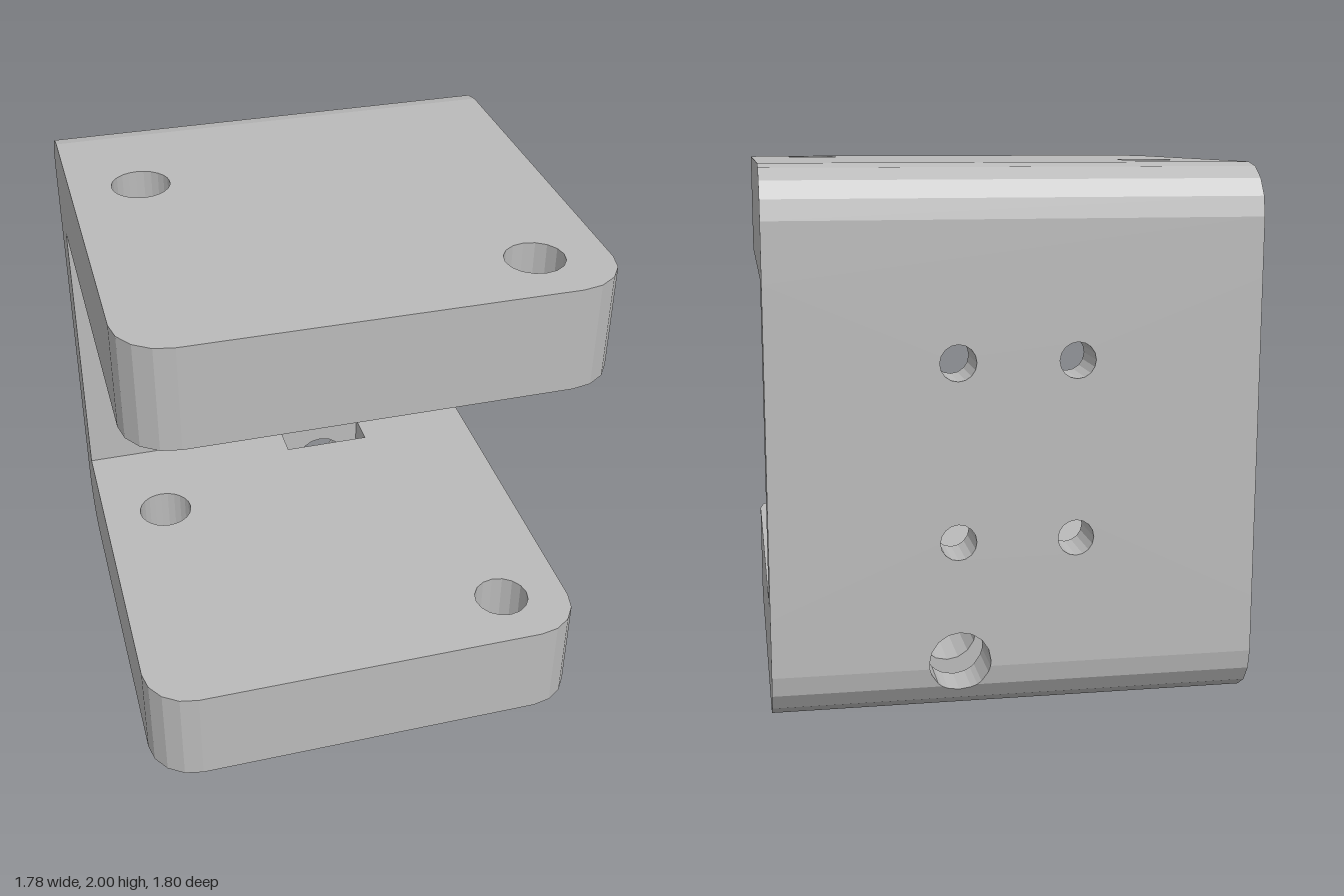
import * as THREE from 'three';

const HX = 0.89, HZ = 0.9, R = 0.19, WALL = -0.71, T = 0.405;
const SLOT = { x0: 0.015, x1: 0.39, z: -0.56, end: -0.25 };
const BORE = { x: 0.21, y: 0.21, r: 0.113, half: 0.15 };
const ARC = [0, 1, 2, 3, 4].map(i => i * Math.PI / 8);

const v = (x, y) => new THREE.Vector2(x, y);

// Polygonal hole outline
function circle(x, y, r, n = 16) {
  const pts = [];
  for (let i = 0; i < n; i++) {
    const a = i / n * Math.PI * 2;
    pts.push(v(x + r * Math.cos(a), y + r * Math.sin(a)));
  }
  return new THREE.Path(pts);
}

function extrude(points, holes, depth) {
  const shape = new THREE.Shape(points);
  shape.holes.push(...holes);
  return new THREE.ExtrudeGeometry(shape, { depth, bevelEnabled: false });
}

const rect = (x0, y0, x1, y1) => [v(x0, y0), v(x1, y0), v(x1, y1), v(x0, y1)];

// Horizontal plate with rounded front corners; drawn in x and -z
function plateGeometry(y, notch) {
  const pts = ARC.map(a => v(-HX + R - R * Math.cos(a), -HZ + R - R * Math.sin(a)));
  pts.push(...ARC.map(a => v(HX - R + R * Math.sin(a), -HZ + R - R * Math.cos(a))));
  pts.push(v(HX, -WALL));
  if (notch) pts.push(v(SLOT.x1, -WALL), v(SLOT.x1, -SLOT.end), v(SLOT.x0, -SLOT.end), v(SLOT.x0, -WALL));
  pts.push(v(-HX, -WALL));
  const holes = [circle(-0.62, 0.27, 0.112, 24), circle(0.62, -0.65, 0.11)];
  return extrude(pts, holes, T).rotateX(-Math.PI / 2).translate(0, y, 0);
}

// Rounded back edge as a profile run along x
function cornerGeometry(x0, x1, upper) {
  const flip = y => (upper ? 2 - y : y);
  const pts = ARC.map(a => v(-WALL + R * Math.sin(a), flip(R - R * Math.cos(a))));
  pts.push(v(HZ, flip(T)), v(-WALL, flip(T)));
  return extrude(pts, [], x1 - x0).rotateY(Math.PI / 2).translate(x0, 0, 0);
}

// Depth of the faceted lower back edge at a given height
function backZ(y) {
  for (let i = 0; i < 4; i++) {
    const y0 = R - R * Math.cos(ARC[i]), y1 = R - R * Math.cos(ARC[i + 1]);
    if (y <= y1) {
      const t = (y - y0) / (y1 - y0);
      return WALL - R * THREE.MathUtils.lerp(Math.sin(ARC[i]), Math.sin(ARC[i + 1]), t);
    }
  }
  return -HZ;
}

// Section of the rounded back edge pierced by the bore, in horizontal strips
function boredCornerGeometry() {
  const levels = [T, ...ARC.map(a => R - R * Math.cos(a))];
  for (let i = 0; i <= 8; i++) levels.push(BORE.y - BORE.r * Math.cos(i * Math.PI / 8));
  levels.sort((a, b) => a - b);
  const width = y => Math.sqrt(Math.max(0, BORE.r ** 2 - (y - BORE.y) ** 2));
  const pos = [];
  const quad = (s, a, b, c, d) => {
    const q = s > 0 ? [a, b, c, a, c, d] : [a, c, b, a, d, c];
    q.forEach(p => pos.push(...p));
  };
  for (let i = 0; i < levels.length - 1; i++) {
    const y0 = levels[i], y1 = levels[i + 1];
    if (y1 - y0 < 1e-6) continue;
    const w0 = width(y0), w1 = width(y1), z0 = backZ(y0), z1 = backZ(y1);
    for (const s of [-1, 1]) {
      const a0 = BORE.x + s * w0, a1 = BORE.x + s * w1, o = BORE.x + s * BORE.half;
      quad(s, [a0, y0, z0], [a1, y1, z1], [o, y1, z1], [o, y0, z0]);
      quad(s, [a0, y0, WALL], [o, y0, WALL], [o, y1, WALL], [a1, y1, WALL]);
      if (w0 + w1 > 1e-4) quad(s, [a0, y0, z0], [a0, y0, WALL], [a1, y1, WALL], [a1, y1, z1]);
    }
  }
  const g = new THREE.BufferGeometry();
  g.setAttribute('position', new THREE.Float32BufferAttribute(pos, 3));
  g.computeVertexNormals();
  return g;
}

export function createModel() {
  const grey = new THREE.MeshStandardMaterial({ color: 0xbababa });
  grey.name = 'grey';
  const group = new THREE.Group();
  group.name = 'bracket';
  const add = (name, geometry) => {
    const mesh = new THREE.Mesh(geometry, grey);
    mesh.name = name;
    group.add(mesh);
  };

  add('upperPlate', plateGeometry(2 - T, false));
  add('lowerPlate', plateGeometry(0, true));

  // Back wall with four screw holes
  const screws = [];
  for (const x of [-0.215, 0.215]) for (const y of [0.66, 1.31]) screws.push(circle(x, y, 0.066));
  add('backWall', extrude(rect(-HX, T, HX, 2 - T), screws, HZ + WALL).translate(0, 0, -HZ));

  // Rounded back edges
  add('upperBackEdge', cornerGeometry(-HX, HX, true));
  add('lowerBackEdgeRight', cornerGeometry(-HX, BORE.x - BORE.half, false));
  add('lowerBackEdgeLeft', cornerGeometry(BORE.x + BORE.half, HX, false));
  add('lowerBackEdgeBored', boredCornerGeometry());

  // Block in front of the open slot, continuing the bore
  add('boreBlock', extrude(rect(SLOT.x0, 0, SLOT.x1, T), [circle(BORE.x, BORE.y, BORE.r)], SLOT.z - SLOT.end < 0 ? SLOT.end - SLOT.z : 0)
    .translate(0, 0, SLOT.z));

  // Shallow pad under the upper plate
  add('pad', new THREE.BoxGeometry(0.76, 0.055, 0.375).translate(0, 1.5725, 0.0975));
  return group;
}
